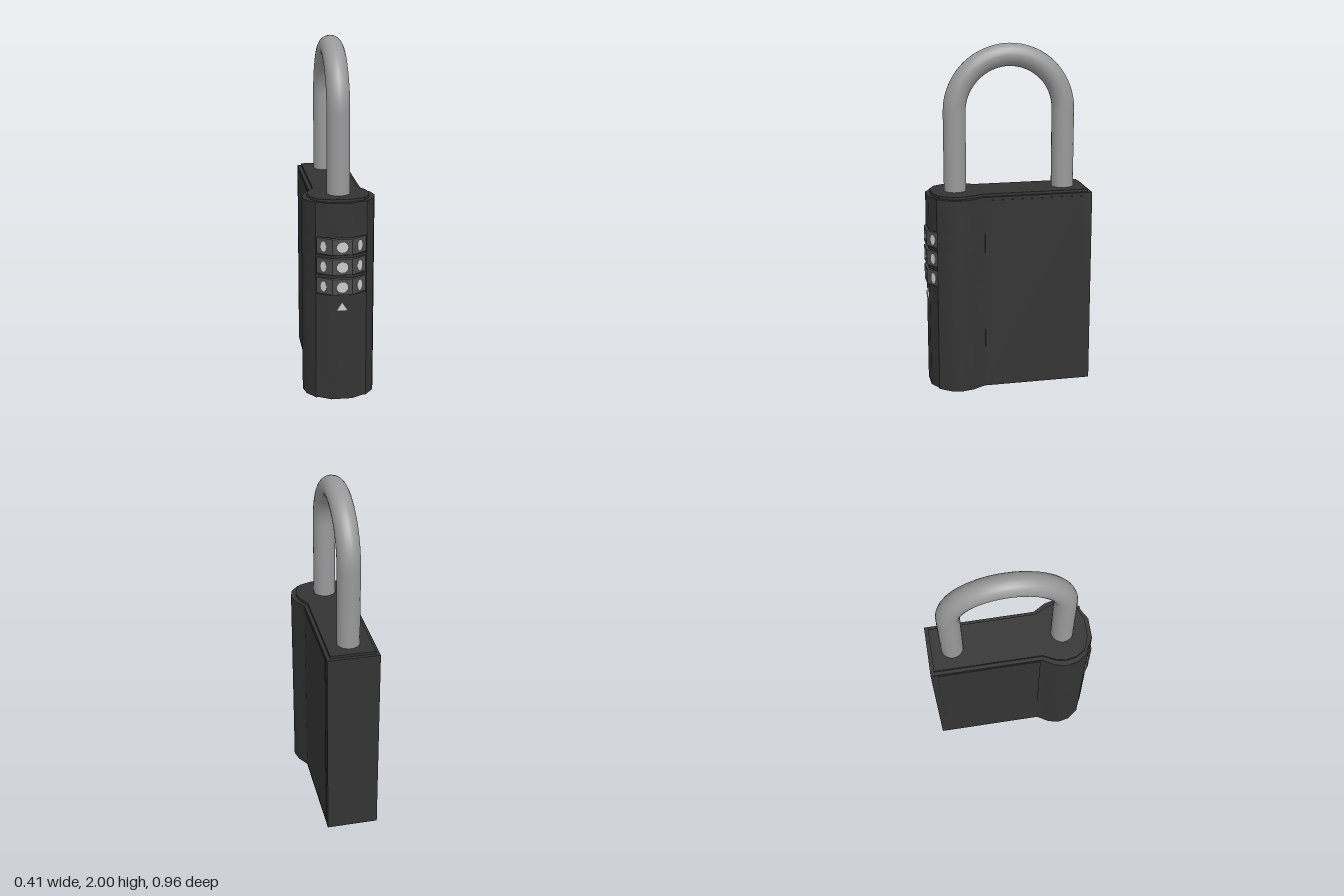
import * as THREE from 'three';
import { toCreasedNormals } from 'three/addons/utils/BufferGeometryUtils.js';

const paint = (color, flatShading = false) => new THREE.MeshStandardMaterial({ color, flatShading });

export function createModel() {
  const lock = new THREE.Group();
  lock.name = 'combinationPadlock';
  const dark = paint(0x333333);
  const wheel = paint(0x4a4a4a, true);
  const steel = paint(0x999999);
  const light = paint(0xcccccc);

  const add = (name, geometry, material, parent = lock) => {
    const mesh = new THREE.Mesh(geometry, material);
    mesh.name = name;
    parent.add(mesh);
    return mesh;
  };

  // Upright prism from half an outline of [x, z] points, mirrored across x
  const prism = (half, y0, y1) => {
    const full = [...half, ...half.map(([x, z]) => [-x, z]).reverse()];
    const shape = new THREE.Shape(full.map(([x, z]) => new THREE.Vector2(x, -z)));
    const g = new THREE.ExtrudeGeometry(shape, { depth: y1 - y0, bevelEnabled: false });
    g.rotateX(-Math.PI / 2).translate(0, y0, 0);
    return toCreasedNormals(g, 0.6);
  };

  // Body outline: narrow slab at the back, rounded drum at the front
  const sides = [[0.149, -0.478], [0.149, 0.16], [0.19, 0.23], [0.205, 0.295], [0.19, 0.365], [0.142, 0.428]];
  const solid = [...sides, [0.12, 0.43], [0.06, 0.465]];
  const windowed = [...sides, [0.138, 0.428], [0.138, 0.38]];

  // Body layers: three windows with bars between them
  const body = new THREE.Group();
  body.name = 'body';
  lock.add(body);
  const levels = [0, 0.625, 0.725, 0.74, 0.84, 0.855, 0.955, 1.15];
  for (let i = 0; i < levels.length - 1; i++) {
    const open = i % 2 === 1;
    add(open ? 'windowLayer' : 'bodyLayer', prism(open ? windowed : solid, levels[i], levels[i + 1]), dark, body);
  }

  // Raised lip on top
  add('topPlate', prism([[0.128, -0.457], [0.128, 0.165], [0.162, 0.235], [0.175, 0.295],
    [0.163, 0.355], [0.13, 0.41], [0.05, 0.44]], 1.15, 1.165), dark);

  // Side panels
  for (const s of [-1, 1]) {
    add(s > 0 ? 'leftPanel' : 'rightPanel', new THREE.BoxGeometry(0.006, 1.11, 0.59), dark)
      .position.set(s * 0.149, 0.577, -0.143);
  }

  // Ten-sided wheels with plain raised pips on the visible faces
  const pipShape = new THREE.Shape().absellipse(0, 0, 0.024, 0.03, 0, Math.PI * 2);
  const pip = new THREE.ExtrudeGeometry(pipShape, { depth: 0.004, bevelEnabled: false, curveSegments: 10 });
  const radius = 0.178;
  for (const y of [0.675, 0.79, 0.905]) {
    const dial = new THREE.Group();
    dial.name = 'dial';
    dial.position.set(0, y, 0.308);
    lock.add(dial);
    add('dialWheel', new THREE.CylinderGeometry(radius, radius, 0.09, 10).rotateY(Math.PI / 10), wheel, dial);
    for (const k of [-1, 0, 1]) {
      const a = k * Math.PI / 5;
      const r = radius * Math.cos(Math.PI / 10) - 0.001;
      const mark = add('dialPip', pip, light, dial);
      mark.position.set(Math.sin(a) * r, 0, Math.cos(a) * r);
      mark.rotation.y = a;
      mark.scale.x = k ? 0.75 : 1.3;
    }
  }

  // Triangular pointer below the wheels
  const tri = new THREE.Shape([[-0.033, 0.535], [0.033, 0.535], [0, 0.585]].map(p => new THREE.Vector2(...p)));
  add('pointer', new THREE.ExtrudeGeometry(tri, { depth: 0.012, bevelEnabled: false }), light)
    .position.z = 0.461;

  // Shackle: half-circle arch on two straight legs
  const tube = 0.065, arch = 0.317, midZ = -0.018, springY = 2 - tube - arch;
  const shackle = new THREE.Group();
  shackle.name = 'shackle';
  shackle.position.set(0, springY, midZ);
  lock.add(shackle);
  add('shackleArch', new THREE.TorusGeometry(arch, tube, 20, 32, Math.PI).rotateY(Math.PI / 2), steel, shackle);
  const legLength = springY - 1.1;
  for (const s of [-1, 1]) {
    add(s > 0 ? 'frontLeg' : 'backLeg', new THREE.CylinderGeometry(tube, tube, legLength, 20), steel, shackle)
      .position.set(0, -legLength / 2, s * arch);
  }
  return lock;
}
